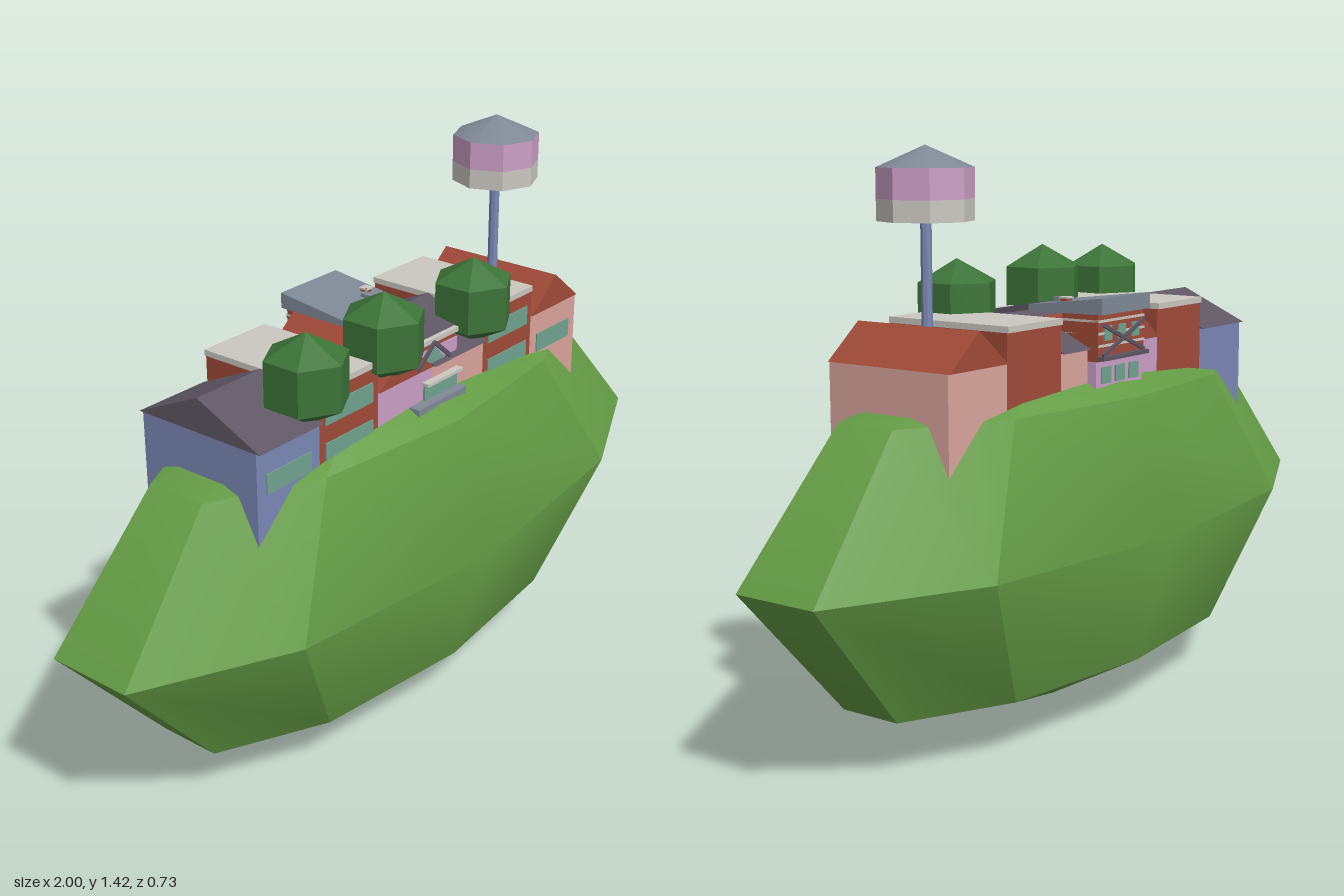
import * as THREE from 'three';
import { toCreasedNormals } from 'three/addons/utils/BufferGeometryUtils.js';

export function createModel() {
  const root = new THREE.Group();
  root.name = 'islandTown';

  const mat = {};
  const colours = {
    grass: 0x649c45, leaf: 0x3c7438, brick: 0xa04a38, pink: 0xd9a59c, lilac: 0xcb9fc6,
    blue: 0x7b88b5, slate: 0x5f5664, stone: 0xcac7c0, grey: 0x7f8996, glass: 0x70a28e,
  };
  for (const [name, hex] of Object.entries(colours)) {
    mat[name] = new THREE.MeshStandardMaterial({ color: hex });
    mat[name].name = name;
  }

  function add(name, geo, colour, parent = root) {
    const mesh = new THREE.Mesh(geo, mat[colour]);
    mesh.name = name;
    parent.add(mesh);
    return mesh;
  }
  // Box given by its limits on each axis
  function box(name, colour, x0, x1, y0, y1, z0, z1, parent = root) {
    const m = add(name, new THREE.BoxGeometry(x1 - x0, y1 - y0, z1 - z0), colour, parent);
    m.position.set((x0 + x1) / 2, (y0 + y1) / 2, (z0 + z1) / 2);
    return m;
  }
  // Extruded outline, running along z
  function prism(points, depth) {
    const shape = new THREE.Shape(points.map(([x, y]) => new THREE.Vector2(x, y)));
    return new THREE.ExtrudeGeometry(shape, { depth, bevelEnabled: false }).translate(0, 0, -depth / 2);
  }
  // Thin bar between two points on a facade plane
  function bar(name, colour, x0, y0, x1, y1, z, width, parent) {
    const length = Math.hypot(x1 - x0, y1 - y0);
    const m = add(name, new THREE.BoxGeometry(length, width, 0.006), colour, parent);
    m.position.set((x0 + x1) / 2, (y0 + y1) / 2, z);
    m.rotation.z = Math.atan2(y1 - y0, x1 - x0);
  }

  // Grassy island: stretched ten-sided ball with hard edges at the ends
  const ball = new THREE.SphereGeometry(1, 10, 4);
  ball.rotateY(Math.PI / 10);
  ball.scale(1.0515, 0.472, 0.367);
  add('island', toCreasedNormals(ball, 0.7), 'grass').position.y = 0.475;

  // Row of houses, each one bay wide
  const W = 0.21, D = 0.175, EAVE = 0.93, RIDGE = 1.015;
  function house(name, x, wall, roof, ridgeAlongX) {
    const g = new THREE.Group();
    g.name = name;
    root.add(g);
    box('walls', wall, x - W / 2, x + W / 2, 0.6, EAVE, -D, D, g);
    const half = ridgeAlongX ? 0.187 : W / 2;
    const geo = prism([[-half, EAVE], [half, EAVE], [0, RIDGE]], ridgeAlongX ? W : 0.36);
    if (ridgeAlongX) geo.rotateY(Math.PI / 2);
    add('roof', geo, roof, g).position.x = x;
    return g;
  }
  const blueHouse = house('blueHouse', -0.525, 'blue', 'slate', true);
  house('lilacHouse', -0.105, 'lilac', 'brick', false);
  house('pinkHouse', 0.105, 'pink', 'slate', true);
  const endHouse = house('endHouse', 0.525, 'pink', 'brick', false);
  box('window', 'glass', -0.60, -0.45, 0.82, 0.87, D, D + 0.003, blueHouse);
  box('window', 'glass', 0.45, 0.60, 0.82, 0.87, D, D + 0.003, endHouse);

  // Two flat-roofed brick shops
  for (const x of [-0.315, 0.315]) {
    const g = new THREE.Group();
    g.name = 'brickShop';
    root.add(g);
    box('walls', 'brick', x - W / 2, x + W / 2, 0.6, 1.0, -D, D, g);
    box('flatRoof', 'stone', x - W / 2, x + W / 2, 1.0, 1.015, -0.18, 0.178, g);
    for (const y of [0.82, 0.915]) {
      box('window', 'glass', x - 0.085, x + 0.085, y, y + 0.05, D, D + 0.003, g);
    }
  }

  // Central hall, taller than the houses it stands between
  const hall = new THREE.Group();
  hall.name = 'centralHall';
  root.add(hall);
  box('upperWalls', 'brick', -0.1, 0.1, EAVE, 1.0, -0.195, 0.17, hall);
  box('rearUpperWall', 'brick', -0.1, 0.1, 0.9, 1.015, -0.205, -0.1, hall);
  box('rearLowerWall', 'lilac', -0.1, 0.1, 0.7, 0.9, -0.2, -0.1, hall);
  // Profiles below are (z, y), turned so they run along x
  const along = (pts) => prism(pts.map(([z, y]) => [-z, y]), W).rotateY(Math.PI / 2);
  add('frontRoof', along([[0, 1.0], [0, 1.03], [0.17, 1.0]]), 'slate', hall);
  add('rearRoof', along([[0, 1.012], [0, 1.028], [-0.22, 1.055], [-0.22, 1.015]]), 'grey', hall);
  box('frontCornice', 'stone', -0.1, 0.1, 0.99, 1.002, 0.165, 0.178, hall);
  box('frontBand', 'lilac', -0.1, 0.1, 0.94, 0.975, 0.17, 0.174, hall);

  // Front gable trim, window, canopy and step
  add('gableWindow', prism([[-0.045, 0.94], [0.045, 0.94], [0, 0.985]], 0.004), 'glass', hall)
    .position.z = 0.177;
  for (const s of [-1, 1]) bar('gableTrim', 'slate', s * 0.065, 0.938, 0, 0.993, 0.181, 0.01, hall);
  box('frontWindow', 'glass', -0.035, 0.095, 0.85, 0.89, D, D + 0.006, hall);
  box('windowFrame', 'stone', -0.04, 0.1, 0.89, 0.898, D, 0.195, hall);
  box('frontStep', 'grey', -0.09, 0.1, 0.82, 0.85, D, 0.205, hall);

  // Rear facade: bands, windows and an outdoor stair with crossed rails
  for (const y of [0.935, 0.965, 0.995]) {
    box('rearBand', 'stone', -0.1, 0.1, y, y + 0.006, -0.208, -0.1, hall);
  }
  for (const x of [-0.06, 0, 0.06]) {
    box('rearWindow', 'glass', x - 0.016, x + 0.016, 0.95, 0.985, -0.209, -0.205, hall);
    box('rearShopWindow', 'glass', x - 0.02, x + 0.02, 0.845, 0.885, -0.204, -0.2, hall);
  }
  box('rearBalcony', 'slate', -0.1, 0.1, 0.903, 0.913, -0.222, -0.2, hall);
  bar('stairRail', 'slate', -0.09, 0.915, 0.09, 0.99, -0.213, 0.009, hall);
  bar('stairRail', 'slate', 0.09, 0.915, -0.09, 0.99, -0.213, 0.009, hall);

  // Small chimney and vent on the rear roof
  box('chimney', 'brick', 0.06, 0.08, 1.03, 1.05, -0.1, -0.08, hall);
  box('chimneyCap', 'stone', 0.057, 0.083, 1.046, 1.05, -0.103, -0.077, hall);
  box('vent', 'grey', 0.035, 0.055, 1.03, 1.046, -0.08, -0.04, hall);

  // Trees along the front
  for (const [x, y] of [[-0.42, 1.03], [-0.144, 1.045], [0.21, 1.03]]) {
    const g = new THREE.Group();
    g.name = 'tree';
    g.position.set(x, y, 0.14);
    root.add(g);
    const crown = new THREE.SphereGeometry(0.118, 6, 3).rotateY(Math.PI / 6).scale(1, 0.95, 1);
    add('crown', toCreasedNormals(crown, 0.5), 'leaf', g);
  }

  // Water tower
  const tower = new THREE.Group();
  tower.name = 'waterTower';
  tower.position.set(0.49, 0, 0);
  root.add(tower);
  const drum = (name, colour, rTop, rBottom, y0, y1) => {
    const geo = new THREE.CylinderGeometry(rTop, rBottom, y1 - y0, 8);
    add(name, toCreasedNormals(geo, 0.5), colour, tower).position.y = (y0 + y1) / 2;
  };
  drum('pole', 'blue', 0.013, 0.013, 0.85, 1.25);
  drum('tankBase', 'stone', 0.112, 0.112, 1.25, 1.30);
  drum('tank', 'lilac', 0.112, 0.112, 1.30, 1.37);
  drum('tankRoof', 'grey', 0, 0.112, 1.37, 1.42);

  return root;
}
